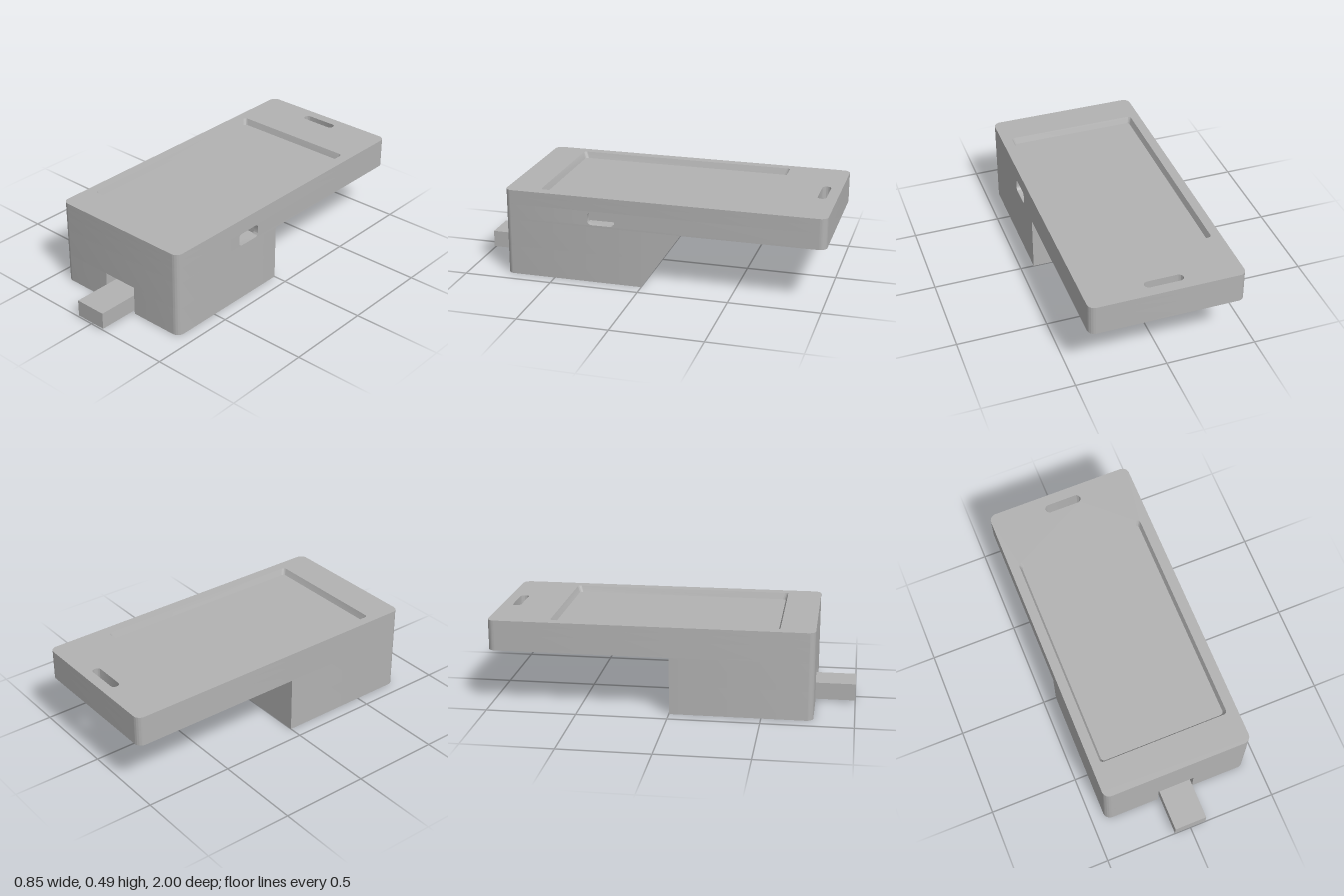
import * as THREE from 'three';
import { toCreasedNormals } from 'three/addons/utils/BufferGeometryUtils.js';

const HALF = 0.424, BACK = -1, FRONT = 0.78, R = 0.04;

// Rounded rectangle between two corners, counter-clockwise
function rounded(path, x0, y0, x1, y1, r) {
  path.moveTo(x0 + r, y0);
  path.lineTo(x1 - r, y0);
  path.absarc(x1 - r, y0 + r, r, -Math.PI / 2, 0);
  path.lineTo(x1, y1 - r);
  path.absarc(x1 - r, y1 - r, r, 0, Math.PI / 2);
  path.lineTo(x0 + r, y1);
  path.absarc(x0 + r, y1 - r, r, Math.PI / 2, Math.PI);
  path.lineTo(x0, y0 + r);
  path.absarc(x0 + r, y0 + r, r, Math.PI, Math.PI * 1.5);
  return path;
}

// Plan outlines are drawn with shape y = -z
const planHole = (x0, z0, x1, z1, r) => rounded(new THREE.Path(), x0, -z1, x1, -z0, r);
const roundHole = (x, z, r) => new THREE.Path().absarc(x, -z, r, 0, Math.PI * 2);
const slot = () => planHole(-0.108, -0.94, 0.104, -0.892, 0.0239);
const screws = (z) => [-0.37, 0.37].map((x) => roundHole(x, z, 0.027));

// Full-length outline of the upper case, optionally with a side pocket for the port
function caseOutline(pocket) {
  const s = new THREE.Shape();
  if (!pocket) return rounded(s, -HALF, -FRONT, HALF, -BACK, R);
  s.moveTo(-HALF + R, -FRONT);
  s.lineTo(HALF - R, -FRONT);
  s.absarc(HALF - R, -FRONT + R, R, -Math.PI / 2, 0);
  s.lineTo(HALF, -0.315);
  s.lineTo(HALF - 0.08, -0.315);
  s.lineTo(HALF - 0.08, -0.14);
  s.lineTo(HALF, -0.14);
  s.lineTo(HALF, -BACK - R);
  s.absarc(HALF - R, -BACK - R, R, 0, Math.PI / 2);
  s.lineTo(-HALF + R, -BACK);
  s.absarc(-HALF + R, -BACK - R, R, Math.PI / 2, Math.PI);
  s.lineTo(-HALF, -FRONT + R);
  s.absarc(-HALF + R, -FRONT + R, R, Math.PI, Math.PI * 1.5);
  return s;
}

// Outline of the deep front block, optionally with the connector notch
function blockOutline(notch) {
  const s = new THREE.Shape();
  s.moveTo(-HALF, 0);
  s.lineTo(-HALF, -FRONT + R);
  s.absarc(-HALF + R, -FRONT + R, R, Math.PI, Math.PI * 1.5);
  if (notch) {
    s.lineTo(-0.107, -FRONT);
    s.lineTo(-0.107, -0.7);
    s.lineTo(0.103, -0.7);
    s.lineTo(0.103, -FRONT);
  }
  s.lineTo(HALF - R, -FRONT);
  s.absarc(HALF - R, -FRONT + R, R, -Math.PI / 2, 0);
  s.lineTo(HALF, 0);
  return s;
}

export function createModel() {
  const group = new THREE.Group();
  const grey = new THREE.MeshStandardMaterial({ color: 0xb2b2b2 });
  grey.name = 'casing grey';

  function add(name, geometry) {
    const mesh = new THREE.Mesh(geometry, grey);
    mesh.name = name;
    group.add(mesh);
    return mesh;
  }
  // Horizontal slice of the case between two heights
  function slice(name, shape, holes, y0, y1, adjust) {
    shape.holes.push(...holes);
    const g = new THREE.ExtrudeGeometry(shape, { depth: y1 - y0, bevelEnabled: false, curveSegments: 10 });
    g.rotateX(-Math.PI / 2).translate(0, y0, 0);
    if (adjust) adjust(g.attributes.position);
    return add(name, toCreasedNormals(g, 0.6));
  }
  function box(name, x0, x1, y0, y1, z0, z1) {
    const g = new THREE.BoxGeometry(x1 - x0, y1 - y0, z1 - z0);
    add(name, g.translate((x0 + x1) / 2, (y0 + y1) / 2, (z0 + z1) / 2));
  }

  // Deep front block with screw holes and connector notch
  slice('blockBase', blockOutline(true), [...screws(0.725), roundHole(0.064, 0.377, 0.01)], 0, 0.165);
  slice('blockUpper', blockOutline(false), [], 0.165, 0.32);

  // Thin case: underside with shallow panel, port level, solid level
  slice('caseUnderside', caseOutline(false),
    [slot(), ...screws(-0.945), planHole(-0.315, -0.54, 0.315, -0.055, 0.035)], 0.32, 0.33);
  slice('casePortLevel', caseOutline(true), [slot(), ...screws(-0.945)], 0.33, 0.41);
  slice('caseMiddle', caseOutline(false), [slot()], 0.41, 0.455);

  // Top frame: the screen opening narrows towards its floor
  slice('screenFrame', caseOutline(false),
    [slot(), planHole(-0.371, -0.66, 0.365, 0.59, 0.02)], 0.455, 0.49, (p) => {
      for (let i = 0; i < p.count; i++) {
        const x = p.getX(i), z = p.getZ(i);
        if (p.getY(i) < 0.46 && Math.abs(x) < 0.38 && z > -0.67 && z < 0.6) {
          p.setX(i, -0.003 + (x + 0.003) * 0.965);
          p.setZ(i, -0.035 + (z + 0.035) * 0.979);
        }
      }
    });

  // Side port: rounded opening in the wall with a socket behind it
  const wall = new THREE.Shape();
  wall.moveTo(-0.315, 0.33);
  wall.lineTo(-0.14, 0.33);
  wall.lineTo(-0.14, 0.41);
  wall.lineTo(-0.315, 0.41);
  wall.holes.push(rounded(new THREE.Path(), -0.304, 0.332, -0.15, 0.405, 0.024));
  const wallGeo = new THREE.ExtrudeGeometry(wall, { depth: 0.03, bevelEnabled: false, curveSegments: 8 });
  wallGeo.rotateY(Math.PI / 2).translate(HALF - 0.03, 0, 0);
  add('portWall', toCreasedNormals(wallGeo, 0.6));
  box('portSocket', 0.345, 0.38, 0.37, 0.398, 0.175, 0.28);

  // Connector tongue sticking out of the front notch
  box('connectorTongue', -0.095, 0.09, 0.01, 0.105, 0.69, 1);

  return group;
}
